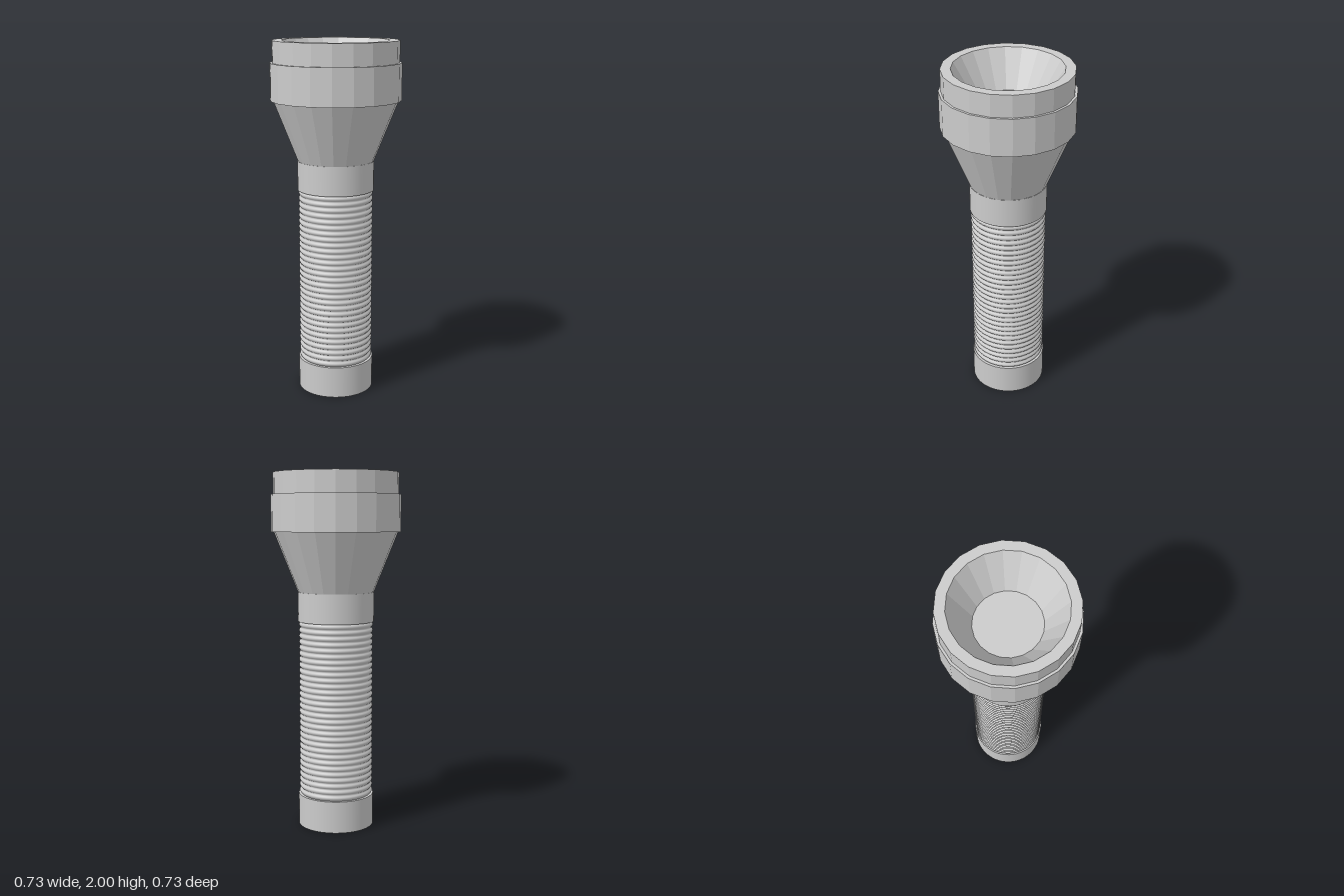
import * as THREE from 'three';

const SIDES = 64;      // round handle
const HEAD_SIDES = 20; // faceted head

export function createModel() {
  const model = new THREE.Group();
  const smooth = new THREE.MeshStandardMaterial({ color: 0xcccccc });
  const faceted = new THREE.MeshStandardMaterial({ color: 0xcccccc, flatShading: true });

  const add = (name, geometry, material) => {
    const mesh = new THREE.Mesh(geometry, material);
    mesh.name = name;
    model.add(mesh);
  };
  const lathe = (points, sides) =>
    new THREE.LatheGeometry(points.map(([r, y]) => new THREE.Vector2(r, y)), sides);
  const band = (name, radius, bottom, top) =>
    add(name, new THREE.CylinderGeometry(radius, radius, top - bottom, SIDES)
      .translate(0, (bottom + top) / 2, 0), smooth);

  // Plain bands at both ends of the handle
  band('tailCap', 0.214, 0, 0.18);
  band('collar', 0.214, 1.175, 1.34);

  // Ribbed grip: rounded ridges stacked along the handle
  const ribs = 30, bottom = 0.18, pitch = (1.175 - bottom) / ribs, steps = 6;
  const grip = [];
  for (let i = 0; i <= ribs * steps; i++) {
    const bulge = Math.abs(Math.sin(Math.PI * i / steps));
    grip.push([0.198 + 0.011 * bulge, bottom + pitch * i / steps]);
  }
  add('grip', lathe(grip, SIDES), smooth);

  // Faceted head: flare, wide ring and stepped rim
  add('head', lathe([
    [0.214, 1.34], [0.348, 1.675], [0.363, 1.675], [0.363, 1.88],
    [0.35, 1.88], [0.35, 2], [0.296, 2],
  ], HEAD_SIDES), faceted);

  // Reflector bowl with a flat floor
  add('reflector', lathe([[0.296, 2], [0.178, 1.8], [0, 1.8]], HEAD_SIDES), faceted);

  return model;
}
